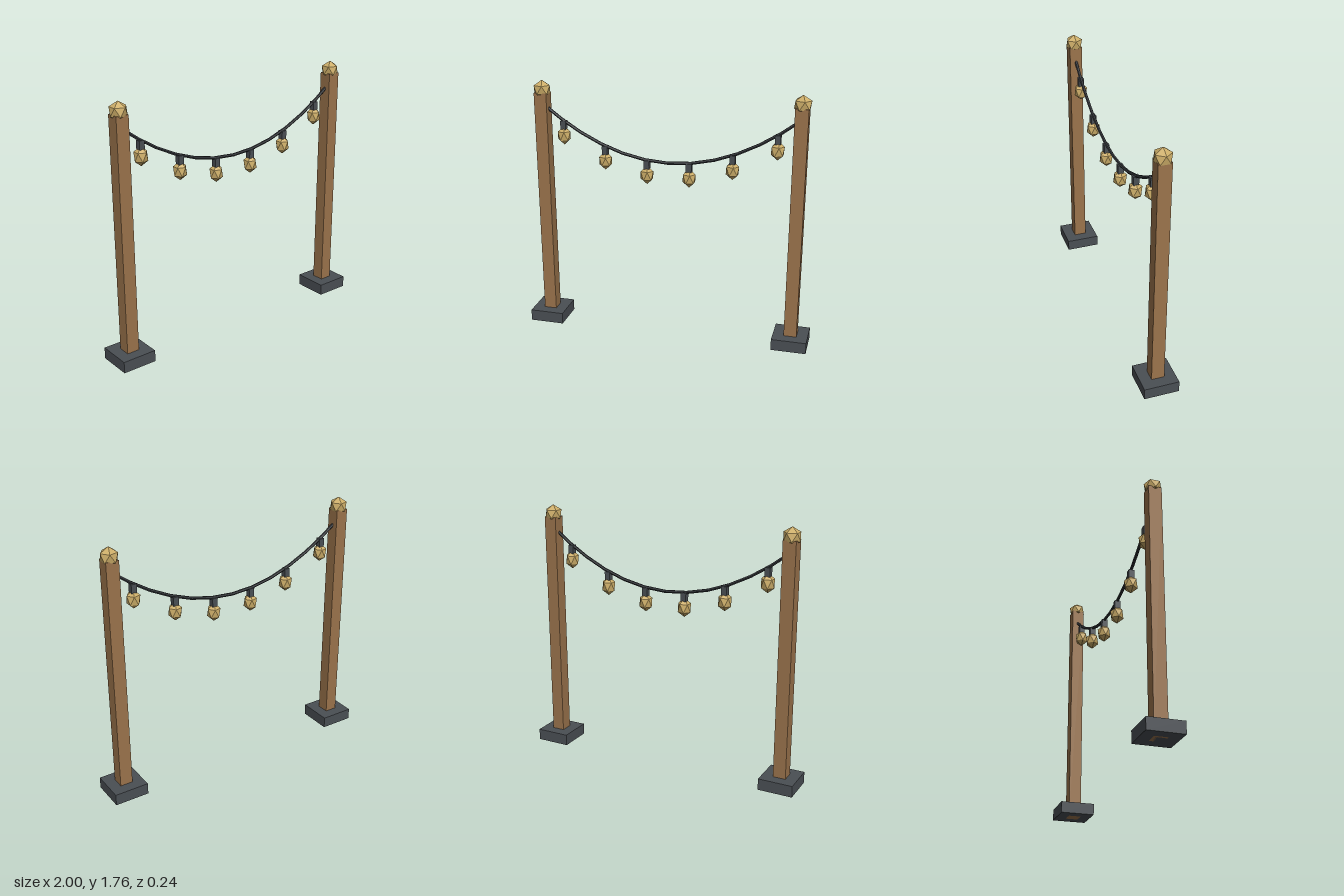
import * as THREE from 'three';

const POST_X = 0.88, ROPE_END = 1.6, ROPE_LOW = 1.245;

function material(name, color) {
  const m = new THREE.MeshStandardMaterial({ color, flatShading: true });
  m.name = name;
  return m;
}

// Icosahedron standing on one of its corners
function gem(radius, stretch = 1) {
  const g = new THREE.IcosahedronGeometry(radius, 0);
  g.rotateZ(-Math.atan(2 / (1 + Math.sqrt(5))));
  return g.scale(1, stretch, 1);
}

export function createModel() {
  const root = new THREE.Group();
  root.name = 'stringLights';

  const wood = material('wood', 0x9b744c);
  const stone = material('darkStone', 0x4a4f54);
  const cable = material('cableBlack', 0x36393d);
  const gold = material('warmGold', 0xcdae69);

  const add = (parent, name, geometry, mat, x, y) => {
    const mesh = new THREE.Mesh(geometry, mat);
    mesh.name = name;
    mesh.position.set(x, y, 0);
    parent.add(mesh);
  };

  // Posts with plinth and finial
  for (const side of [-1, 1]) {
    const post = new THREE.Group();
    post.name = side > 0 ? 'leftPost' : 'rightPost';
    post.position.x = side * POST_X;
    add(post, 'base', new THREE.BoxGeometry(0.24, 0.08, 0.24), stone, 0, 0.04);
    add(post, 'pole', new THREE.BoxGeometry(0.088, 1.68, 0.088), wood, 0, 0.84);
    add(post, 'finial', gem(0.063), gold, 0, 1.7);
    root.add(post);
  }

  // Sagging cable, a parabola between the posts
  const curve = new THREE.QuadraticBezierCurve3(
    new THREE.Vector3(-POST_X, ROPE_END, 0),
    new THREE.Vector3(0, 2 * ROPE_LOW - ROPE_END, 0),
    new THREE.Vector3(POST_X, ROPE_END, 0)
  );
  add(root, 'cable', new THREE.TubeGeometry(curve, 12, 0.011, 6), cable, 0, 0);

  // Six lamps hanging at even spacing
  const count = 6;
  for (let i = 0; i < count; i++) {
    const p = curve.getPoint((i + 0.5) / count);
    const lamp = new THREE.Group();
    lamp.name = `lamp${i + 1}`;
    lamp.position.copy(p);
    add(lamp, 'socket', new THREE.BoxGeometry(0.038, 0.06, 0.038), stone, 0, -0.03);
    add(lamp, 'bulb', gem(0.05, 1.3), gold, 0, -0.104);
    root.add(lamp);
  }
  return root;
}
